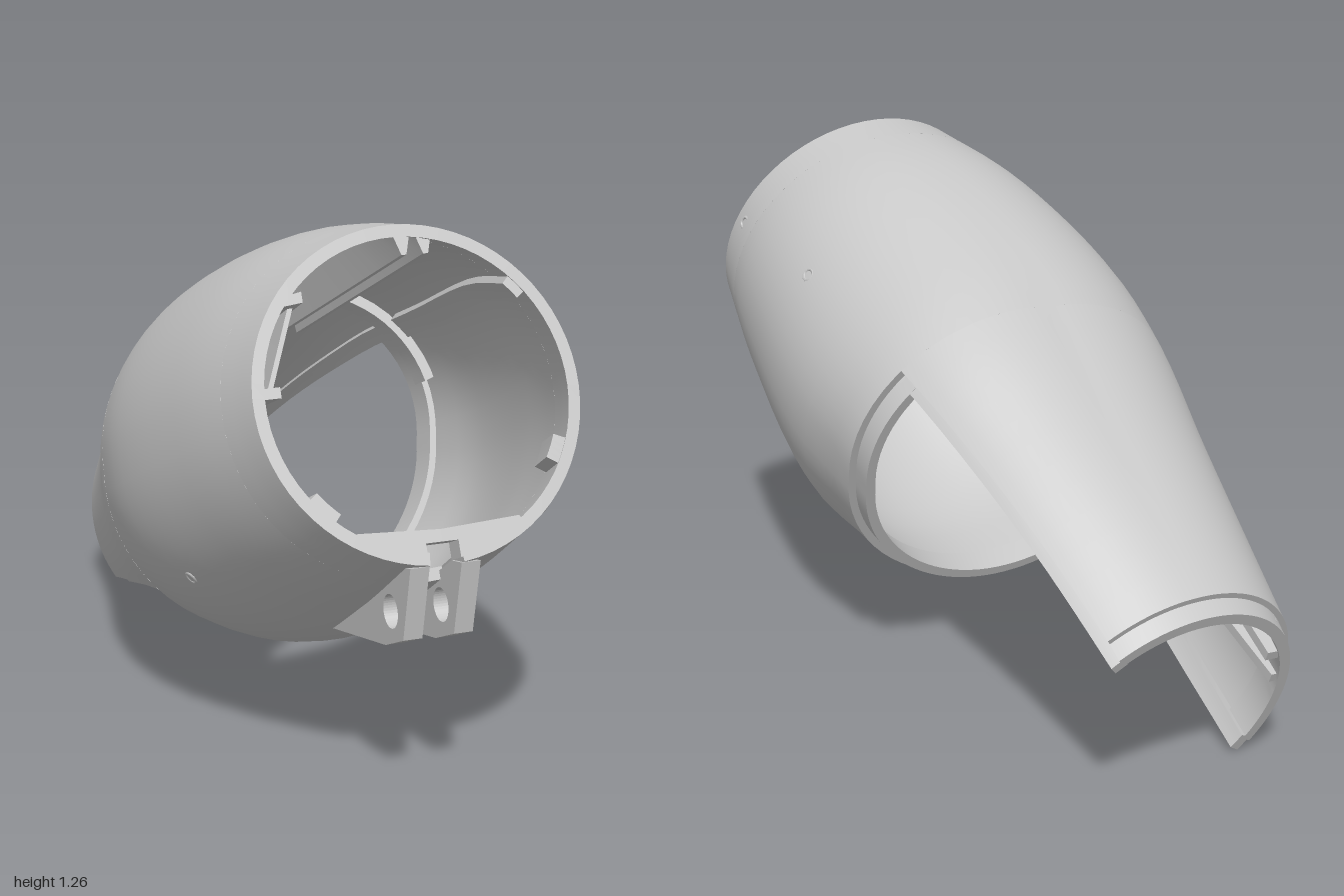
import * as THREE from 'three';
import { toCreasedNormals } from 'three/addons/utils/BufferGeometryUtils.js';

// Cross-sections along the axis: centre x, centre height, half width, half height, diagonal bulge
const stations = [0, 0.295, 0.7, 0.947, 1.29, 1.58, 1.87];
const sections = [
  -0.008, 0, 0.382, 0.372, 0,
  -0.006, 0.01, 0.447, 0.437, 0.03,
  0, 0.006, 0.486, 0.474, 0.05,
  0.01, 0.025, 0.458, 0.44, 0.1,
  0.047, 0.02, 0.407, 0.406, 0.08,
  0.082, 0.014, 0.374, 0.38, 0.04,
  0.118, 0.008, 0.347, 0.347, 0,
];
const interp = new THREE.CubicInterpolant(stations, sections, 5);
const rad = THREE.MathUtils.degToRad;

// Point on the skin at distance s and angle (degrees), moved inwards by inset
function skin(s, deg, inset = 0) {
  const [cx, cv, rx, rv, bump] = interp.evaluate(s);
  const a = rad(deg), lean = Math.sin(2 * a);
  const share = Math.sin(a) > 0 ? Math.max(0, lean) : 0.5 * lean;
  const k = 1 + bump * share;
  return [cx + (rx * k - inset) * Math.cos(a), cv + (rv * k - inset) * Math.sin(a), -s];
}

// Angle on the left wall for height v
function leftAngle(s, v) {
  const [, cv, , rv] = interp.evaluate(s);
  return 180 - THREE.MathUtils.radToDeg(Math.asin((v - cv) / rv));
}

// Solid through closed loops; each loop is an outer row followed by the inner row reversed
function loft(loops) {
  const n = loops[0].length, pos = [];
  const tri = (...p) => p.forEach((q) => pos.push(...q));
  for (let j = 0; j < loops.length - 1; j++) {
    for (let i = 0; i < n; i++) {
      const a = loops[j][i], b = loops[j][(i + 1) % n];
      const c = loops[j + 1][i], d = loops[j + 1][(i + 1) % n];
      tri(a, c, b);
      tri(b, c, d);
    }
  }
  const f = loops[0], e = loops[loops.length - 1];
  for (let i = 0; i < n / 2 - 1; i++) {
    const k = n - 1 - i;
    tri(f[i], f[i + 1], f[k - 1]);
    tri(f[i], f[k - 1], f[k]);
    tri(e[i], e[k - 1], e[i + 1]);
    tri(e[i], e[k], e[k - 1]);
  }
  const g = new THREE.BufferGeometry();
  g.setAttribute('position', new THREE.Float32BufferAttribute(pos, 3));
  return toCreasedNormals(g, 0.5);
}

// Curved wall between two angles; each limit is a pair [at start, at end]
function wall(s0, s1, from, to, outer, inner, rows = 12, cols = 48) {
  const loops = [];
  for (let j = 0; j <= rows; j++) {
    const t = j / rows, s = s0 + (s1 - s0) * t;
    const a0 = THREE.MathUtils.lerp(from[0], from[1], t), a1 = THREE.MathUtils.lerp(to[0], to[1], t);
    const out = [], inn = [];
    for (let i = 0; i <= cols; i++) {
      const a = a0 + ((a1 - a0) * i) / cols;
      out.push(skin(s, a, outer));
      inn.unshift(skin(s, a, inner));
    }
    loops.push([...out, ...inn]);
  }
  return loft(loops);
}

// Rail from the left wall to a tip, through points [s, height, tip x]
function rail(points, half = 0.012) {
  const loops = [];
  points.forEach((p, i) => {
    const q = points[i + 1];
    const steps = q ? 6 : 1;
    for (let k = 0; k < steps; k++) {
      const [s, v, x] = q ? p.map((c, m) => c + ((q[m] - c) * k) / steps) : p;
      loops.push([
        skin(s, leftAngle(s, v + half), 0.015), skin(s, leftAngle(s, v - half), 0.015),
        [x, v - half, -s], [x, v + half, -s],
      ]);
    }
  });
  return loft(loops);
}

// Thin leaning panel through rows [s, low height, high height, low x, high x]
function panel(rows) {
  return loft(rows.map(([s, lo, hi, xl, xh]) => [
    [xh - 0.012, hi, -s], [xl - 0.012, lo, -s], [xl, lo, -s], [xh, hi, -s],
  ]));
}

export function createModel() {
  const model = new THREE.Group();
  model.name = 'forearmHousing';
  const grey = new THREE.MeshStandardMaterial({ color: 0xc8c8c8 });
  grey.name = 'grey plastic';

  // Everything built along the tilted axis
  const tilted = new THREE.Group();
  tilted.name = 'shellAssembly';
  tilted.position.set(0, 0.91, 0.85);
  tilted.rotation.x = -0.416;
  model.add(tilted);
  const add = (name, geometry, parent = tilted) => {
    const m = new THREE.Mesh(geometry, grey);
    m.name = name;
    parent.add(m);
    return m;
  };

  // Outer shell: notched front collar, closed barrel, open rear half
  add('frontCollar', wall(0, 0.12, [-84, -84], [264, 264], 0, 0.028, 3, 64));
  add('barrel', wall(0.12, 0.945, [-90, -90], [270, 270], 0, 0.028, 12, 64));
  add('rearShell', wall(0.945, 1.825, [41, 53], [221, 209], 0, 0.03));

  // Stepped lips at the cut, the rear rim and the two long edges
  add('cutLip', wall(0.92, 0.995, [-139, -139], [41, 41], 0.02, 0.045, 2));
  add('rearLip', wall(1.78, 1.87, [53, 53], [209, 209], 0.014, 0.042, 2));
  add('upperEdgeLip', wall(0.94, 1.87, [38, 49], [44, 55], 0.02, 0.045, 10, 4));
  add('lowerEdgeLip', wall(0.94, 1.87, [219, 207], [226, 215], 0.025, 0.055, 10, 4));
  add('innerRib', wall(0.88, 0.94, [20, 20], [215, 215], 0.02, 0.055, 2));

  // Rails and panels on the inside of the left wall
  add('upperRail', rail([[0.01, 0.23, -0.24], [0.9, 0.235, -0.17], [1.85, 0.225, -0.13]]));
  add('middleRail', rail([[0.01, 0.03, -0.32], [0.9, 0.09, -0.25], [1.43, 0.105, -0.21], [1.58, 0.015, -0.2]]));
  add('rearUpperRail', rail([[1.6, 0.133, -0.16], [1.86, 0.135, -0.13]]));
  add('rearLowerRail', rail([[1.57, 0.012, -0.2], [1.86, 0.05, -0.17]]));
  add('frontPanel', panel([[0.06, 0.04, 0.23, -0.32, -0.24], [0.7, 0.08, 0.235, -0.27, -0.19]]));
  add('rearPanel', panel([
    [0.98, 0.215, 0.235, -0.18, -0.167],
    [1.4, 0.117, 0.232, -0.21, -0.15],
    [1.52, 0.12, 0.23, -0.205, -0.145],
  ]));

  // Pair of ceiling guides
  [0.02, 0.072].forEach((x) => {
    const loops = [];
    for (let j = 0; j <= 6; j++) {
      const s = 0.03 + (0.8 * j) / 6;
      const top = skin(s, 90, 0.015)[1];
      loops.push([[x + 0.023, top, -s], [x - 0.023, top, -s], [x - 0.006, 0.31, -s], [x + 0.006, 0.31, -s]]);
    }
    add('ceilingGuide', loft(loops));
  });

  // Right wall rail and short collar tabs
  add('rightRail', wall(0.005, 0.85, [36, 36], [44, 44], 0.02, 0.05, 8, 4));
  add('rightTab', wall(0.003, 0.1, [-32, -32], [-22, -22], 0.02, 0.058, 2, 4));
  add('leftTab', wall(0.003, 0.1, [216, 216], [228, 228], 0.02, 0.05, 2, 4));

  // Flat pad across the bottom of the collar, on both sides of the slot
  const padHalf = (side) => {
    const p = new THREE.Shape();
    p.moveTo(-0.012, -0.295);
    p.lineTo(-0.012, -0.322);
    p.lineTo(-0.012 + side * 0.038, -0.322);
    p.lineTo(-0.012 + side * 0.038, -0.36);
    p.lineTo(-0.012 + side * 0.13, -0.34);
    p.lineTo(-0.012 + side * 0.2, -0.305);
    p.lineTo(-0.012 + side * 0.19, -0.285);
    const g = new THREE.ExtrudeGeometry(p, { depth: 0.05, bevelEnabled: false });
    return g.translate(0, 0, -0.05);
  };
  [-1, 1].forEach((side) => add('collarPad', padHalf(side)));

  // Screw holes, shown as small rims on the skin: [s, angle]
  [[0.055, 19], [0.474, 34], [0.054, -46], [0.57, 218]].forEach(([s, a]) => {
    const rim = add('screwHoleRim', new THREE.TorusGeometry(0.015, 0.005, 5, 10));
    rim.position.set(...skin(s, a, 0.003));
    rim.quaternion.setFromUnitVectors(
      new THREE.Vector3(0, 0, 1),
      new THREE.Vector3(Math.cos(rad(a)), Math.sin(rad(a)), 0),
    );
  });

  // Pair of hinge lugs under the collar
  const lug = new THREE.Shape();
  [[1.0, 0.57], [0.95, 0.56], [0.62, 0.33], [0.58, 0.3], [0.88, 0.36], [0.97, 0.4]]
    .forEach(([z, y], i) => (i ? lug.lineTo(z, y) : lug.moveTo(z, y)));
  lug.holes.push(new THREE.Path().absarc(0.903, 0.445, 0.038, 0, Math.PI * 2, true));
  [-0.05, 0.07].forEach((x) => {
    const g = new THREE.ExtrudeGeometry(lug, { depth: 0.045, bevelEnabled: false, curveSegments: 20 });
    g.rotateY(-Math.PI / 2);
    add('hingeLug', g.translate(x, 0, 0), model);
  });

  return model;
}
